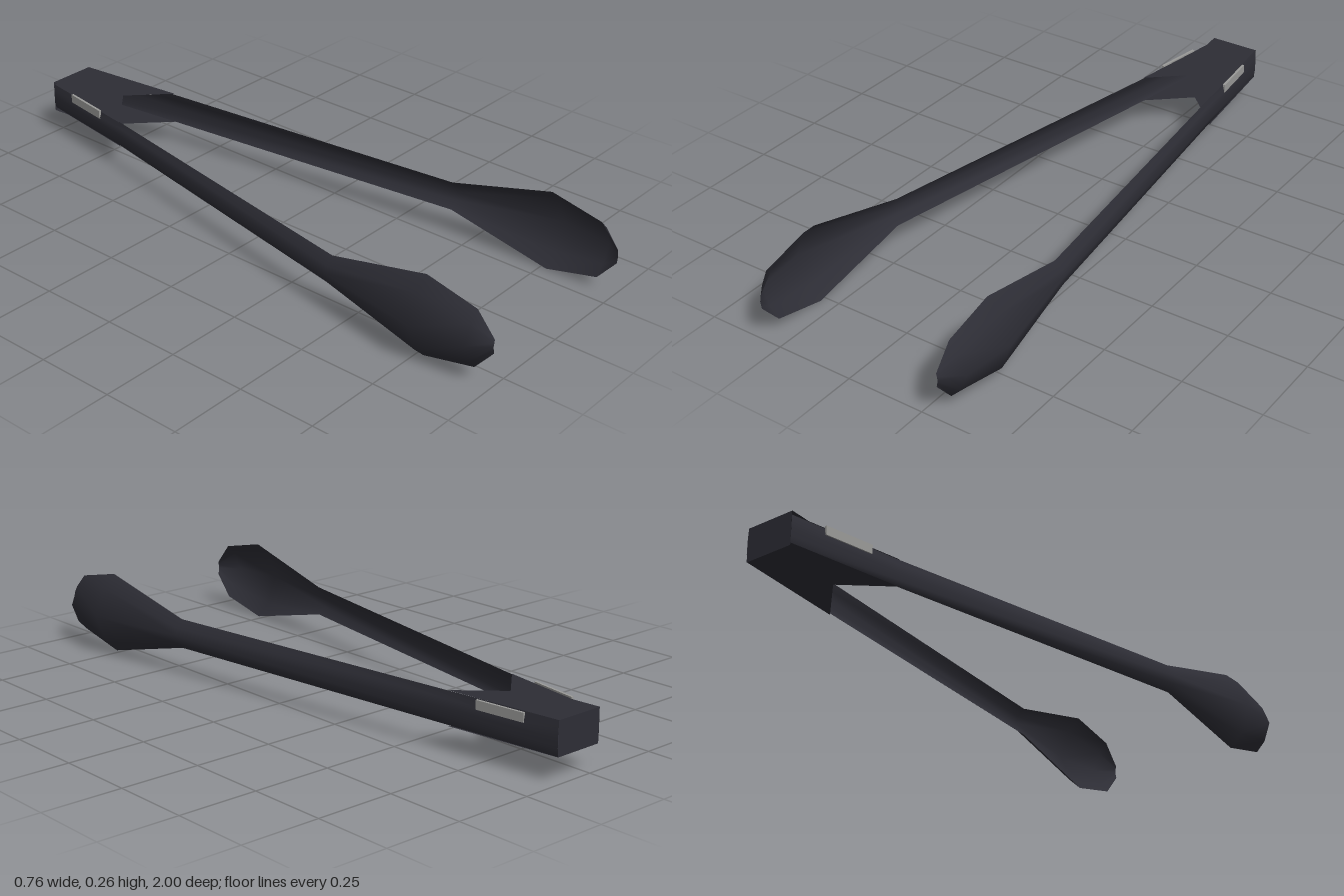
import * as THREE from 'three';

const MID_Y = 0.13;

// Open channel shell; each station is [z, rimX, rimHalf, midX, midHalf, outerX]
function channel(stations, side) {
  const pos = [], idx = [], n = 5;
  stations.forEach(([z, rx, rh, mx, mh, ox]) => {
    [[rx, rh], [mx, mh], [ox, 0], [mx, -mh], [rx, -rh]].forEach(([x, y]) => pos.push(side * x, MID_Y + y, z));
  });
  for (let s = 0; s < stations.length - 1; s++) {
    for (let i = 0; i < n - 1; i++) {
      const a = s * n + i, b = a + 1, c = a + n, d = c + 1;
      if (side > 0) idx.push(a, c, b, b, c, d);
      else idx.push(a, b, c, b, d, c);
    }
  }
  const g = new THREE.BufferGeometry();
  g.setAttribute('position', new THREE.Float32BufferAttribute(pos, 3));
  g.setIndex(idx);
  g.computeVertexNormals();
  return g;
}

// Flat sheet outlined in x and z
function flange(points) {
  const shape = new THREE.Shape(points.map(([x, z]) => new THREE.Vector2(x, z)));
  return new THREE.ShapeGeometry(shape).rotateX(Math.PI / 2);
}

export function createModel() {
  const root = new THREE.Group();
  root.name = 'tongs';
  const dark = new THREE.MeshStandardMaterial({ color: 0x2d2d35, side: THREE.DoubleSide });
  dark.name = 'charcoal';
  const grey = new THREE.MeshStandardMaterial({ color: 0x9a9a98 });
  grey.name = 'light grey';

  const add = (name, geometry, material = dark) => {
    const mesh = new THREE.Mesh(geometry, material);
    mesh.name = name;
    root.add(mesh);
    return mesh;
  };

  // Scooped gripping head, shared by both arms
  const head = [
    [0.43, 0.285, 0.047, 0.312, 0.026, 0.315],
    [0.77, 0.302, 0.13, 0.345, 0.09, 0.378],
    [0.94, 0.304, 0.092, 0.335, 0.06, 0.358],
    [1.0, 0.305, 0.022, 0.307, 0.012, 0.309],
  ];

  // Arms: straight channel from the hinge running into the head
  add('leftArm', channel([
    [-1, 0.13, 0.052, 0.135, 0.027, 0.135],
    [-0.63, 0.17, 0.05, 0.176, 0.027, 0.176],
    ...head,
  ], 1));
  add('rightArm', channel([
    [-1, 0.025, 0.043, 0.03, 0.025, 0.03],
    [-0.63, 0.083, 0.043, 0.09, 0.025, 0.09],
    ...head,
  ], -1));

  // Overlapping hinge flanges, above and below
  const outer = flange([[-0.03, -1], [0.132, -1], [0.173, -0.63], [0.05, -0.75], [-0.015, -0.81]]);
  const inner = flange([[-0.027, -0.998], [-0.086, -0.63], [0.05, -0.75], [0.1, -0.8], [0.1, -0.998]]);
  for (const [place, s] of [['Top', 1], ['Bottom', -1]]) {
    add('leftFlange' + place, outer).position.y = MID_Y + s * 0.052;
    add('rightFlange' + place, inner).position.y = MID_Y + s * 0.043;
  }

  // Back wall of the hinge
  const back = add('hingeBack', new THREE.PlaneGeometry(0.163, 0.104));
  back.position.set(0.052, MID_Y, -1);
  back.rotation.y = Math.PI;

  // Small plain plates on the outer sides
  for (const [name, x, slope] of [['leftPlate', 0.155, 0.109], ['rightPlate', -0.0605, -0.162]]) {
    const plate = add(name, new THREE.BoxGeometry(0.008, 0.028, 0.16), grey);
    plate.position.set(x, 0.164, -0.81);
    plate.rotation.y = Math.atan(slope);
  }
  return root;
}
